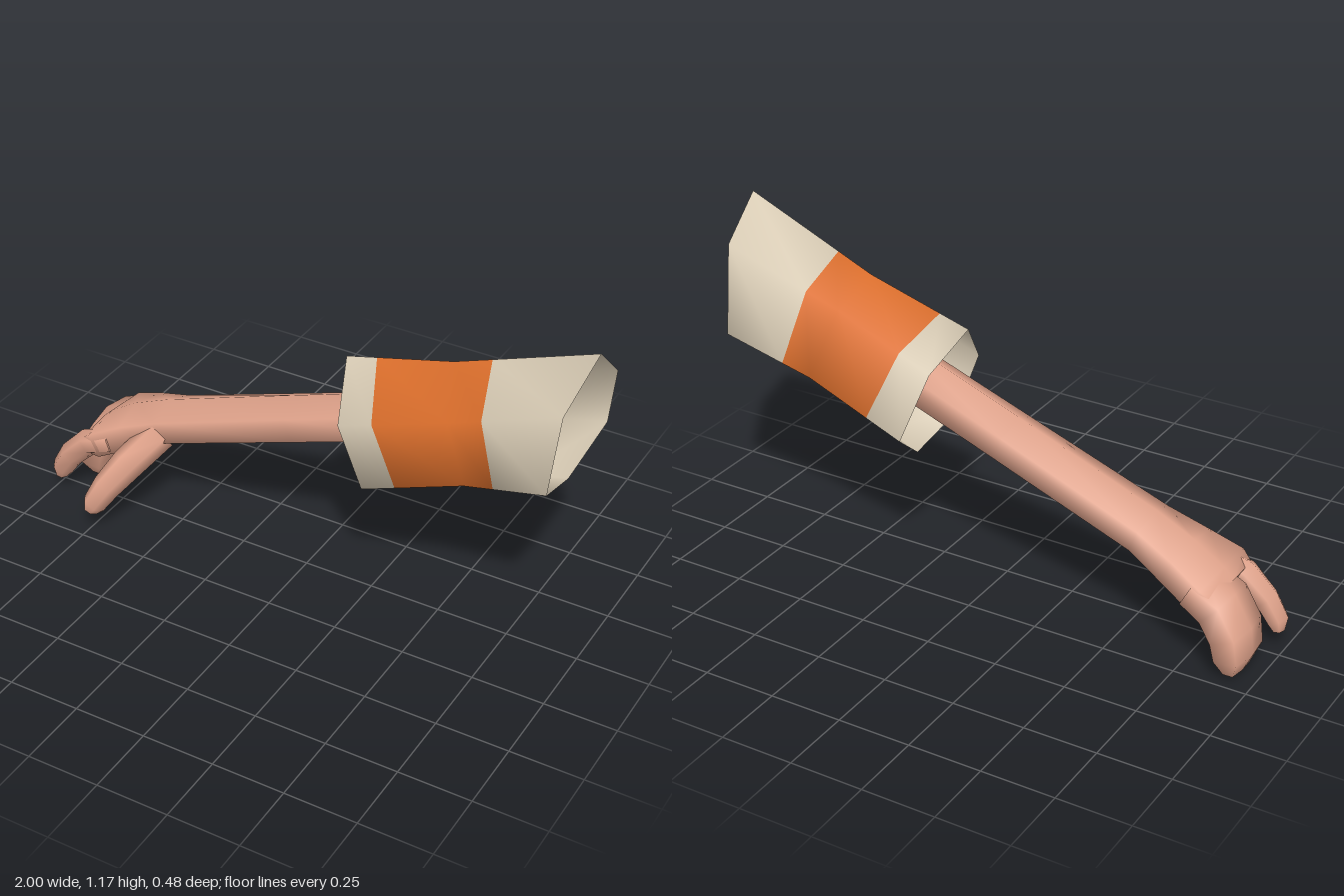
import * as THREE from 'three';

const skin = new THREE.MeshStandardMaterial({ color: 0xe0a38b });
skin.name = 'skin';
const cream = new THREE.MeshStandardMaterial({ color: 0xdacdb6, side: THREE.DoubleSide });
cream.name = 'cream cloth';
const orange = new THREE.MeshStandardMaterial({ color: 0xe0712d, side: THREE.DoubleSide });
orange.name = 'orange cloth';

// Six-sided smooth limb. Each section is [x, y, z, halfHeight, halfWidth, squareness].
function limb(name, sections) {
  const pos = [], index = [], N = 6;
  const centres = sections.map(s => new THREE.Vector3(s[0], s[1], s[2]));
  const rings = sections.map(([, , , h, w, k = 0.5], i) => {
    const t = centres[Math.min(i + 1, centres.length - 1)].clone()
      .sub(centres[Math.max(i - 1, 0)]).normalize();
    const side = new THREE.Vector3(0, 0, 1).addScaledVector(t, -t.z).normalize();
    const up = t.clone().cross(side);
    return [[1, k], [0, 1], [-1, k], [-1, -k], [0, -1], [1, -k]].map(([a, b]) =>
      centres[i].clone().addScaledVector(side, a * w).addScaledVector(up, b * h));
  });
  rings.forEach(r => r.forEach(p => pos.push(p.x, p.y, p.z)));
  for (let i = 0; i < rings.length - 1; i++) {
    for (let j = 0; j < N; j++) {
      const a = i * N + j, b = i * N + (j + 1) % N;
      index.push(a, b, b + N, a, b + N, a + N);
    }
  }
  // End caps with their own vertices, so their edges stay crisp
  [0, rings.length - 1].forEach((r, end) => {
    const base = pos.length / 3;
    rings[r].forEach(p => pos.push(p.x, p.y, p.z));
    for (let j = 1; j < N - 1; j++) {
      if (end) index.push(base, base + j, base + j + 1);
      else index.push(base, base + j + 1, base + j);
    }
  });
  const g = new THREE.BufferGeometry();
  g.setAttribute('position', new THREE.Float32BufferAttribute(pos, 3));
  g.setIndex(index);
  g.computeVertexNormals();
  const mesh = new THREE.Mesh(g, skin);
  mesh.name = name;
  return mesh;
}

// Open hexagonal sleeve: each line runs from the cuff to the shoulder,
// with the x where the orange band starts and ends.
function makeSleeve() {
  const lines = [
    { p: [[0.14, 0.865, -0.01], [0.52, 0.97, 0], [1, 1.16, 0.02]], band: [0.25, 0.65] },
    { p: [[0.19, 0.70, 0.135], [0.57, 0.84, 0.137], [0.95, 0.995, 0.15]], band: [0.31, 0.685] },
    { p: [[0.27, 0.475, 0.12], [0.63, 0.62, 0.125], [0.91, 0.69, 0.135]], band: [0.39, 0.73] },
    { p: [[0.30, 0.405, -0.08], [0.66, 0.56, -0.08], [0.89, 0.615, -0.08]], band: [0.43, 0.74] },
    { p: [[0.26, 0.53, -0.245], [0.61, 0.67, -0.24], [0.94, 0.75, -0.24]], band: [0.39, 0.72] },
    { p: [[0.19, 0.755, -0.17], [0.55, 0.89, -0.15], [1, 1.02, -0.13]], band: [0.31, 0.68] },
  ];
  const atX = (a, b, x) => a.map((v, i) => v + (b[i] - v) * (x - a[0]) / (b[0] - a[0]));
  const pos = [], index = [], rows = 5;
  for (const { p: [a, m, b], band } of lines) {
    pos.push(...a, ...atX(a, m, band[0]), ...m, ...atX(m, b, band[1]), ...b);
  }
  const g = new THREE.BufferGeometry();
  for (let r = 0; r < rows - 1; r++) {
    g.addGroup(index.length, 36, r === 1 || r === 2 ? 1 : 0);
    for (let j = 0; j < 6; j++) {
      const a = j * rows + r, b = ((j + 1) % 6) * rows + r;
      index.push(a, b, b + 1, a, b + 1, a + 1);
    }
  }
  g.setAttribute('position', new THREE.Float32BufferAttribute(pos, 3));
  g.setIndex(index);
  g.computeVertexNormals();
  const mesh = new THREE.Mesh(g, [cream, orange]);
  mesh.name = 'sleeve';
  return mesh;
}

export function createModel() {
  const model = new THREE.Group();
  model.name = 'sleevedArm';
  model.add(makeSleeve());

  // Forearm widening into the palm
  model.add(limb('forearmAndPalm', [
    [0.45, 0.722, -0.045, 0.088, 0.085],
    [-0.05, 0.542, -0.053, 0.083, 0.093],
    [-0.555, 0.36, -0.062, 0.077, 0.103],
    [-0.69, 0.303, -0.068, 0.073, 0.128, 0.6],
    [-0.80, 0.252, -0.07, 0.058, 0.155, 0.75],
    [-0.84, 0.23, -0.07, 0.045, 0.14, 0.75],
  ]));

  const hand = new THREE.Group();
  hand.name = 'fingers';
  // Three outer fingers joined as one block, curled down
  hand.add(limb('joinedFingers', [
    [-0.77, 0.26, -0.13, 0.05, 0.095, 0.75],
    [-0.855, 0.215, -0.133, 0.06, 0.097, 0.75],
    [-0.905, 0.135, -0.137, 0.058, 0.099, 0.75],
    [-0.918, 0.06, -0.138, 0.052, 0.098, 0.75],
    [-0.918, 0.002, -0.145, 0.022, 0.065, 0.75],
  ]));
  hand.add(limb('indexFinger', [
    [-0.75, 0.265, 0.035, 0.045, 0.045],
    [-0.85, 0.23, 0.043, 0.048, 0.044],
    [-0.925, 0.155, 0.05, 0.045, 0.037],
    [-0.965, 0.09, 0.052, 0.04, 0.033],
    [-0.972, 0.052, 0.052, 0.02, 0.02],
  ]));
  hand.add(limb('thumb', [
    [-0.585, 0.325, -0.01, 0.06, 0.07],
    [-0.65, 0.24, 0.105, 0.058, 0.055],
    [-0.695, 0.17, 0.172, 0.05, 0.046],
    [-0.73, 0.105, 0.2, 0.042, 0.038],
    [-0.74, 0.078, 0.207, 0.026, 0.024],
  ]));
  model.add(hand);
  return model;
}
